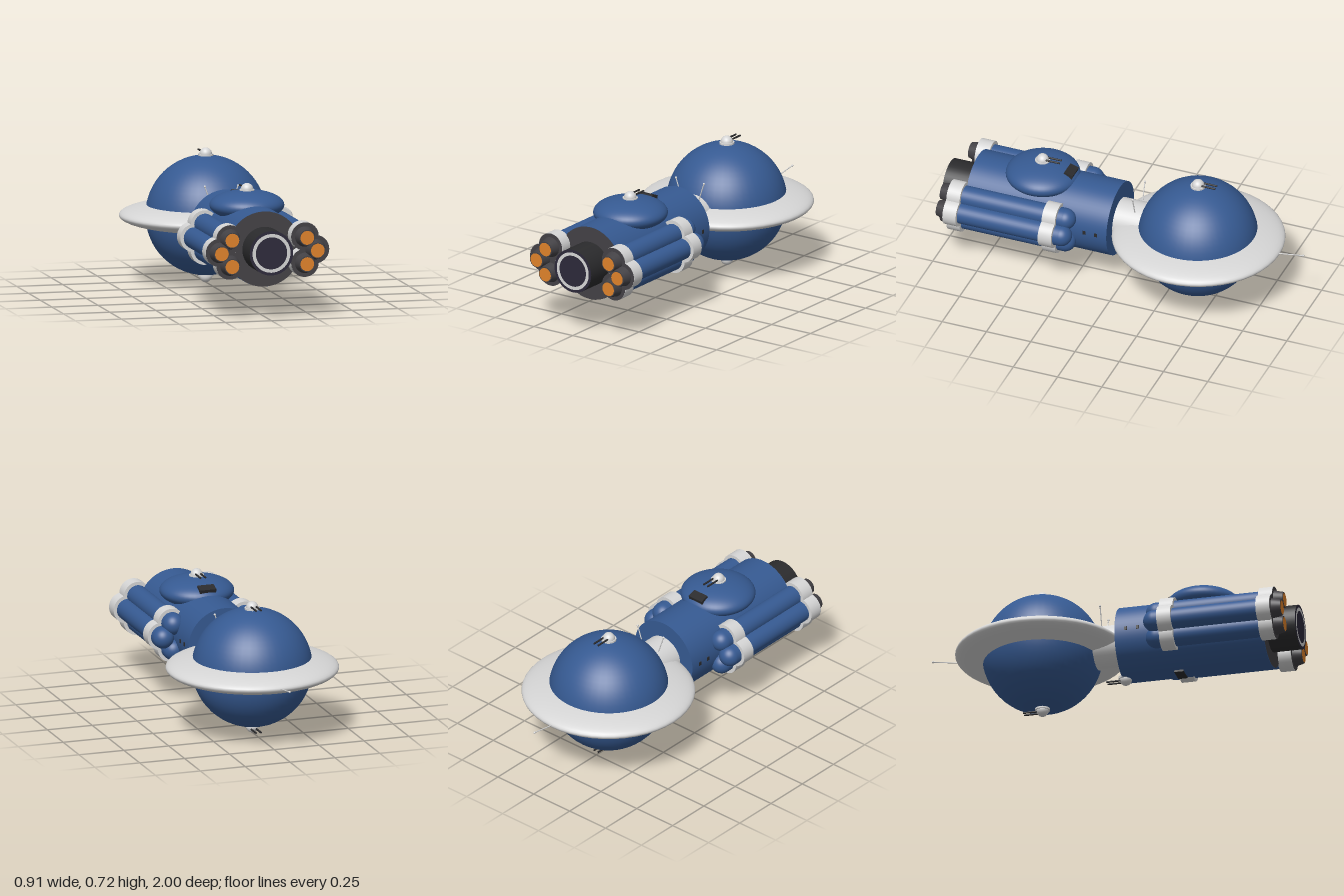
import * as THREE from 'three';

const mat = (name, color) => {
  const m = new THREE.MeshStandardMaterial({ color });
  m.name = name;
  return m;
};

export function createModel() {
  const blue = mat('hull blue', 0x365a92);
  const white = mat('pale grey', 0xd6d6d6);
  const grey = mat('dark grey', 0x434145);
  const black = mat('gunmetal', 0x2b2b2d);
  const navy = mat('dark navy', 0x2c293a);
  const orange = mat('exhaust orange', 0xe0832a);

  const model = new THREE.Group();
  model.name = 'spaceship';
  const CY = 0.358; // height of the main axis

  const add = (parent, name, geo, material, x = 0, y = 0, z = 0) => {
    const m = new THREE.Mesh(geo, material);
    m.name = name;
    m.position.set(x, y, z);
    parent.add(m);
    return m;
  };
  // cylinder along z: r0 at z0 (rear), r1 at z1 (front)
  const tube = (parent, name, material, x, y, z0, z1, r0, r1 = r0, seg = 40) =>
    add(parent, name, new THREE.CylinderGeometry(r1, r0, z1 - z0, seg).rotateX(Math.PI / 2),
      material, x, y, (z0 + z1) / 2);
  const disc = (parent, name, material, x, y, z, r) =>
    add(parent, name, new THREE.CircleGeometry(r, 40), material, x, y, z);
  const ball = (parent, name, material, x, y, z, r, sy = 1) =>
    add(parent, name, new THREE.SphereGeometry(r, 48, 32).scale(1, sy, 1), material, x, y, z);
  // thin rod with a small ball on its tip
  const antenna = (name, from, to) => {
    const g = new THREE.Group();
    g.name = name;
    const a = new THREE.Vector3(...from), b = new THREE.Vector3(...to);
    add(g, 'rod', new THREE.TubeGeometry(new THREE.LineCurve3(a, b), 1, 0.003, 8), white);
    add(g, 'tip', new THREE.SphereGeometry(0.006, 12, 8), white, b.x, b.y, b.z);
    model.add(g);
  };
  // domed turret with twin barrels pointing backwards; up = 1 or -1
  const turret = (name, y, z, up) => {
    const g = new THREE.Group();
    g.name = name;
    add(g, 'dome', new THREE.SphereGeometry(0.033, 24, 16), white);
    add(g, 'base', new THREE.CylinderGeometry(0.04, 0.04, 0.012, 24), white, 0, -0.006 * up, 0);
    for (const s of [-1, 1]) tube(g, 'barrel', black, s * 0.014, 0.009 * up, -0.102, 0, 0.005, 0.005, 10);
    g.position.set(0, y, z);
    model.add(g);
  };

  // spherical rear section with its flattened ring
  ball(model, 'sphere', blue, 0, CY, -0.4, 0.318);
  ball(model, 'ring', white, 0, CY, -0.403, 0.457, 0.17);

  // neck and main hull
  tube(model, 'neck', white, 0, CY, -0.12, 0.045, 0.115);
  tube(model, 'hull', blue, 0, CY, 0.04, 0.84, 0.2, 0.2, 64);
  disc(model, 'hullEndPlate', grey, 0, CY, 0.842, 0.2);

  // central nozzle
  tube(model, 'nozzle', black, 0, CY, 0.84, 0.998, 0.118);
  disc(model, 'nozzleFace', navy, 0, CY, 0.999, 0.118);
  add(model, 'nozzleRing', new THREE.RingGeometry(0.085, 0.103, 48), white, 0, CY, 1.0);

  // pod on top of the hull, with hatches above and below
  ball(model, 'pod', blue, 0, 0.54, 0.475, 0.197, 0.4);
  add(model, 'podHatch', new THREE.BoxGeometry(0.09, 0.025, 0.05), black, 0, 0.585, 0.318).rotation.x = -0.3;
  add(model, 'bellyHatch', new THREE.BoxGeometry(0.09, 0.02, 0.05), black, 0, 0.163, 0.35);

  // engine clusters, three tubes on each side
  for (const s of [-1, 1]) {
    const cluster = new THREE.Group();
    cluster.name = s > 0 ? 'leftEngines' : 'rightEngines';
    model.add(cluster);
    for (const [ex, dy] of [[0.203, 0.07], [0.26, 0], [0.203, -0.07]]) {
      const x = s * ex, y = CY + dy;
      tube(cluster, 'engineTube', blue, x, y, 0.27, 0.85, 0.057);
      ball(cluster, 'engineDome', blue, x, y, 0.27, 0.057);
      tube(cluster, 'rearCollar', white, x, y, 0.3, 0.375, 0.075);
      tube(cluster, 'frontCollar', white, x, y, 0.838, 0.913, 0.075);
      disc(cluster, 'collarPlate', grey, x, y, 0.915, 0.075);
      tube(cluster, 'engineNozzle', grey, x, y, 0.912, 0.963, 0.055, 0.042);
      disc(cluster, 'exhaust', orange, x, y, 0.965, 0.037);
    }
    // side portholes
    for (const z of [0.1, 0.165])
      add(model, 'porthole', new THREE.BoxGeometry(0.008, 0.02, 0.016), black, s * 0.199, CY + 0.005, z);
    antenna('neckAntenna', [s * 0.053, 0.452, -0.065], [s * 0.09, 0.56, -0.065]);
  }

  // turrets and tail antenna
  turret('topTurret', 0.683, -0.4, 1);
  turret('bottomTurret', 0.033, -0.4, -1);
  turret('podTurret', 0.623, 0.478, 1);
  turret('bellyTurret', 0.161, 0.052, -1);
  antenna('tailAntenna', [0, 0.36, -0.85], [0, 0.382, -0.994]);

  return model;
}
